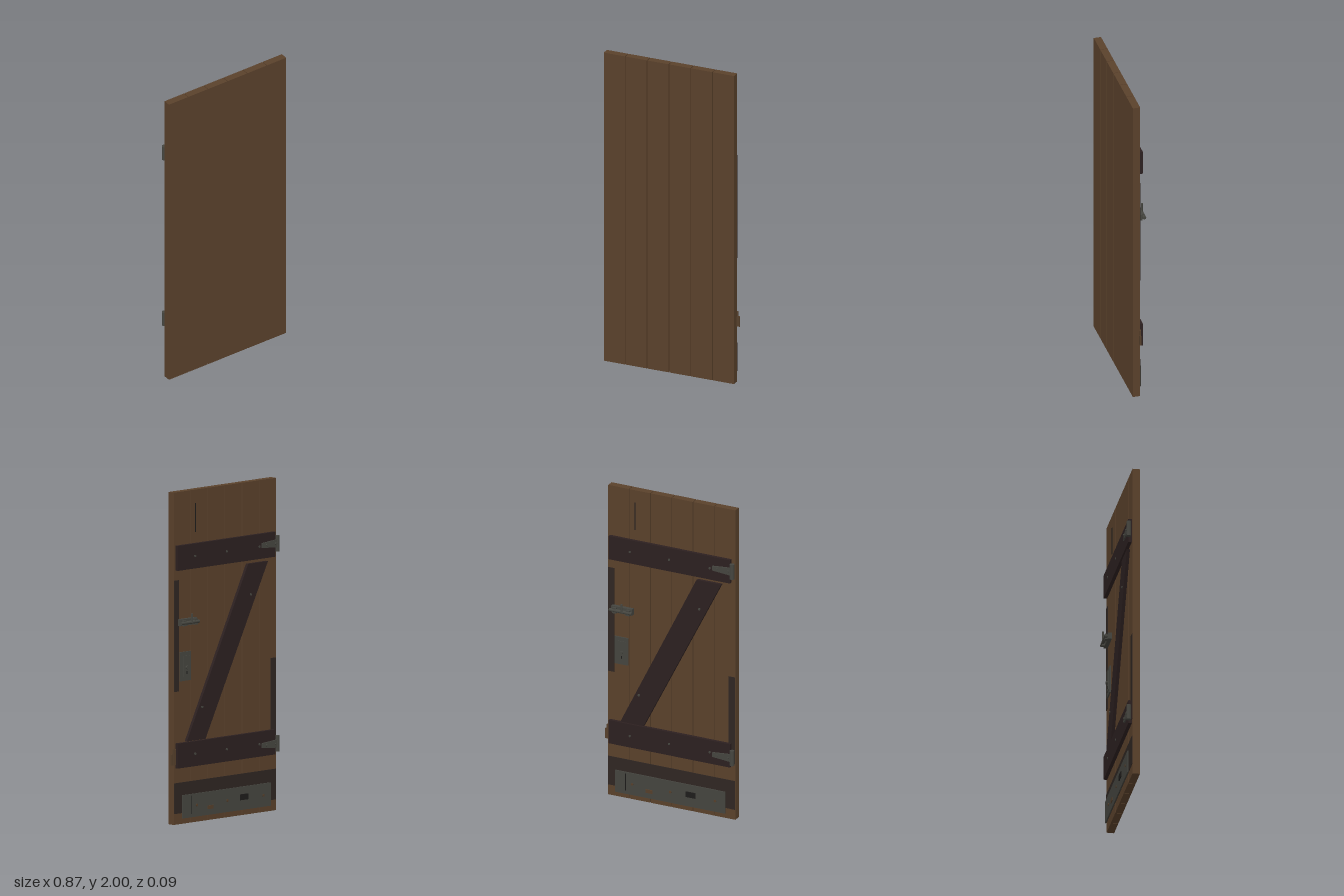
import * as THREE from 'three';

const mat = (name, color) => {
  const m = new THREE.MeshStandardMaterial({ color });
  m.name = name;
  return m;
};

export function createModel() {
  const wood = mat('plankWood', 0x5a412b);
  const darkWood = mat('darkWood', 0x2c2020);
  const stain = mat('darkStain', 0x2f2622);
  const iron = mat('iron', 0x45453f);
  const black = mat('blackIron', 0x1e1c1b);
  const rust = mat('rustyMetal', 0x553f2b);
  const door = new THREE.Group();
  door.name = 'plankDoor';

  const add = (name, geo, material, parent = door) => {
    const m = new THREE.Mesh(geo, material);
    m.name = name;
    parent.add(m);
    return m;
  };
  // box given by its limits on each axis
  const box = (name, material, x0, x1, y0, y1, z0, z1, parent) => {
    const g = new THREE.BoxGeometry(x1 - x0, y1 - y0, z1 - z0);
    g.translate((x0 + x1) / 2, (y0 + y1) / 2, (z0 + z1) / 2);
    return add(name, g, material, parent);
  };
  // round head facing the back
  const stud = (name, material, x, y, z, r = 0.007, h = 0.006, parent) => {
    const g = new THREE.CylinderGeometry(r, r, h, 12);
    g.rotateX(Math.PI / 2).translate(x, y, z - h / 2);
    return add(name, g, material, parent);
  };

  // six upright planks with open gaps
  for (let i = 0; i < 6; i++) {
    const x = -0.435 + i * 0.1426;
    box('plank', wood, x, x + 0.138, 0, 2, 0, 0.045);
  }

  // ledges with their nails
  for (const y of [0.34, 1.53]) {
    box('ledge', darkWood, -0.41, 0.402, y, y + 0.15, -0.021, 0);
    for (const x of [-0.275, -0.003, 0.26]) stud('ledgeNail', iron, x, y + 0.075, -0.021, 0.007, 0.005);
  }

  // diagonal brace, cut level against the ledges
  const shape = new THREE.Shape([[-0.35, 1.51], [0.17, 0.495], [0.325, 0.495], [-0.185, 1.51]]
    .map(p => new THREE.Vector2(...p)));
  const brace = new THREE.ExtrudeGeometry(shape, { depth: 0.019, bevelEnabled: false });
  brace.translate(0, 0, -0.019);
  add('brace', brace, darkWood);
  stud('braceNail', iron, -0.205, 1.325, -0.019);
  stud('braceNail', iron, 0.2, 0.69, -0.019);

  // dark worn strips on the back, and the narrow slit
  box('latchSideStrip', stain, 0.375, 0.415, 0.8, 1.47, -0.003, 0);
  box('hingeSideStrip', stain, -0.434, -0.39, 0.36, 0.92, -0.003, 0);
  box('bottomStrip', stain, -0.434, 0.415, 0.065, 0.25, -0.003, 0);
  box('slit', black, 0.232, 0.24, 1.745, 1.92, -0.002, 0);

  // hinges: knuckle, tapered leaf and screws
  for (const y of [0.405, 1.61]) {
    const hinge = new THREE.Group();
    hinge.name = 'hinge';
    door.add(hinge);
    const k = new THREE.CylinderGeometry(0.014, 0.014, 0.096, 16);
    k.translate(-0.424, y, -0.021);
    add('knuckle', k, iron, hinge);
    const s = new THREE.Shape([[-0.424, -0.025], [-0.295, -0.014], [-0.295, 0.014], [-0.424, 0.025]]
      .map(p => new THREE.Vector2(...p)));
    const leaf = new THREE.ExtrudeGeometry(s, { depth: 0.009, bevelEnabled: false });
    leaf.translate(0, y, -0.03);
    add('leaf', leaf, iron, hinge);
    for (const x of [-0.402, -0.328]) stud('hingeScrew', iron, x, y, -0.03, 0.007, 0.008, hinge);
  }

  // sliding bolt: plate, guides, rod and knob
  const bolt = new THREE.Group();
  bolt.name = 'slidingBolt';
  door.add(bolt);
  box('boltPlate', iron, 0.245, 0.385, 1.195, 1.235, -0.024, 0, bolt);
  for (const x of [0.255, 0.345]) box('boltGuide', iron, x, x + 0.025, 1.195, 1.23, -0.04, -0.02, bolt);
  const rod = new THREE.CylinderGeometry(0.01, 0.01, 0.15, 14);
  rod.rotateZ(Math.PI / 2).translate(0.315, 1.213, -0.035);
  add('boltRod', rod, iron, bolt);
  const knob = new THREE.CylinderGeometry(0.006, 0.006, 0.055, 12);
  knob.translate(0.305, 1.237, -0.042);
  add('boltKnob', knob, iron, bolt);

  // lock plate with keyhole and handle spindle
  const lock = new THREE.Group();
  lock.name = 'lock';
  door.add(lock);
  box('lockPlate', iron, 0.28, 0.37, 0.86, 1.035, -0.008, 0, lock);
  box('lockCover', iron, 0.295, 0.345, 0.885, 1.01, -0.013, -0.008, lock);
  stud('lockSpindle', iron, 0.32, 0.94, -0.013, 0.011, 0.009, lock);
  box('keyhole', black, 0.317, 0.323, 0.9, 0.918, -0.0145, -0.013, lock);

  // metal kick plate with its fittings
  const kick = new THREE.Group();
  kick.name = 'kickPlate';
  door.add(kick);
  box('plate', iron, -0.375, 0.36, 0.035, 0.175, -0.02, -0.013, kick);
  box('darkPatch', black, -0.18, -0.115, 0.095, 0.13, -0.025, -0.02, kick);
  box('rustPatch', rust, 0.108, 0.155, 0.07, 0.092, -0.025, -0.02, kick);
  box('scratch', black, 0.288, 0.293, 0.055, 0.165, -0.0215, -0.02, kick);
  for (const x of [-0.31, -0.01, 0.245]) stud('plateScrew', rust, x, 0.105, -0.02, 0.008, 0.004, kick);

  // small latch tongue on the free edge
  box('latchPlate', rust, 0.4, 0.424, 0.36, 0.455, -0.004, 0.004);
  box('latchTongue', rust, 0.4, 0.435, 0.36, 0.425, -0.002, 0.007);

  return door;
}
